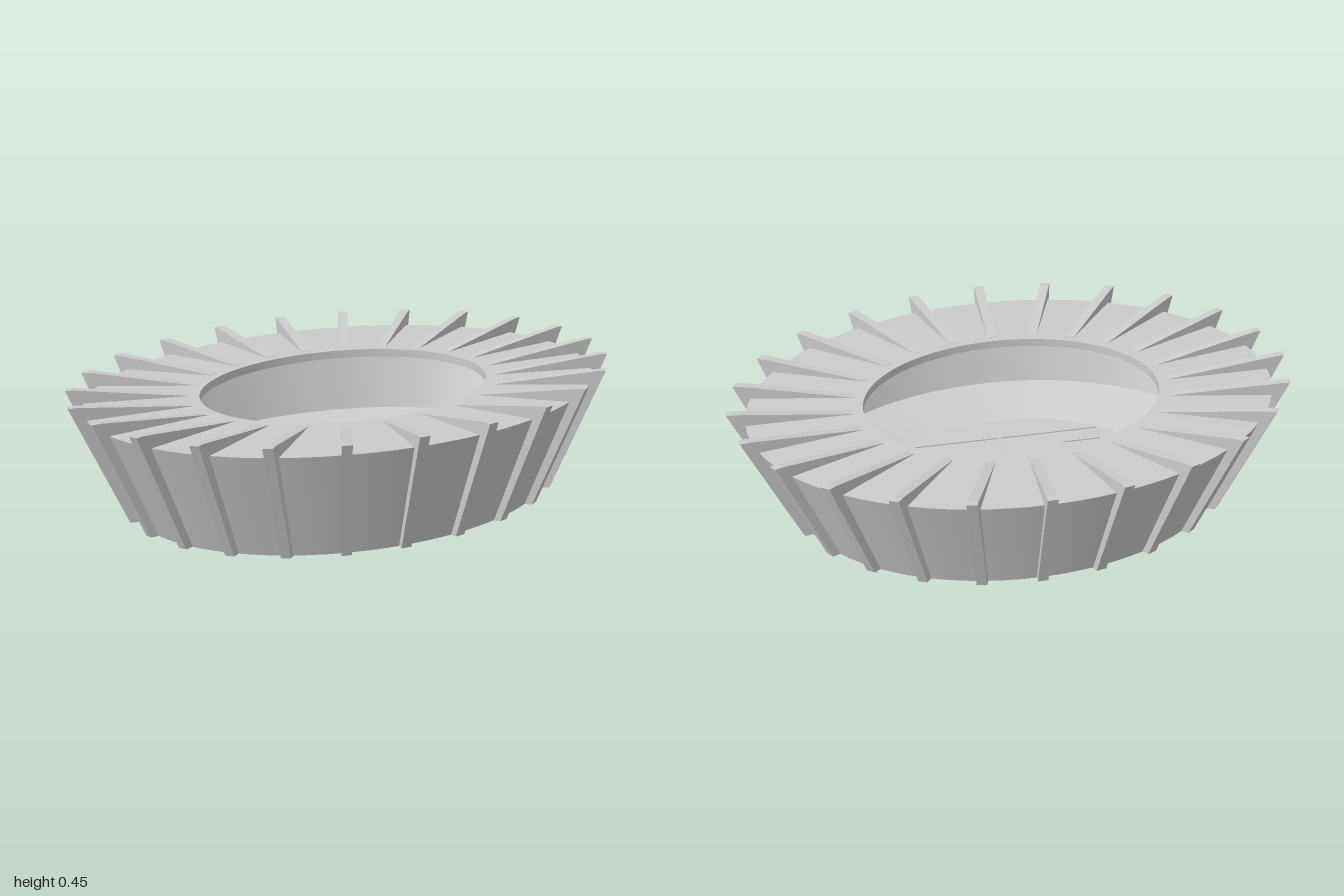
import * as THREE from 'three';
import { toCreasedNormals } from 'three/addons/utils/BufferGeometryUtils.js';

const DEPTH_RATIO = 0.682; // the oval is a circle squashed in z
const PITCH_Y = 0.03;
const grey = new THREE.MeshStandardMaterial({ color: 0xcccccc });

function add(parent, name, geometry) {
  const mesh = new THREE.Mesh(geometry, grey);
  mesh.name = name;
  parent.add(mesh);
  return mesh;
}

// Hollow bowl: floor, leaning outer wall, roof ring, overhang and sloping stand
function bowlGeometry() {
  const profile = [
    [0, 0], [0.778, 0], [0.94, 0.4], [0.53, 0.4], [0.53, 0.37],
    [0.91, 0.37], [0.8, 0.09], [0.54, PITCH_Y], [0, PITCH_Y],
  ].map(([r, y]) => new THREE.Vector2(r, y));
  return toCreasedNormals(new THREE.LatheGeometry(profile, 72), 0.2);
}

// Rib that climbs the outer wall and tapers inwards over the roof
function ribGeometry() {
  const width = 0.036;
  const shape = new THREE.Shape([
    [0.808, 0], [1, 0.45], [0.97, 0.45], [0.57, 0.401], [0.57, 0.39], [0.92, 0.39], [0.765, 0],
  ].map(([r, y]) => new THREE.Vector2(r, y)));
  const geometry = new THREE.ExtrudeGeometry(shape, { depth: width, bevelEnabled: false });
  return geometry.translate(0, 0, -width / 2);
}

// Raised pitch markings
function pitchMarkings() {
  const group = new THREE.Group();
  group.name = 'pitchMarkings';
  const line = 0.011;
  const height = 0.005;
  const y = PITCH_Y + height / 2;

  const strip = (name, x0, z0, x1, z1) => {
    const geometry = new THREE.BoxGeometry(
      Math.abs(x1 - x0) + line, height, Math.abs(z1 - z0) + line);
    add(group, name, geometry).position.set((x0 + x1) / 2, y, (z0 + z1) / 2);
  };
  const ring = (name, x, inner, outer, start = 0, sweep = Math.PI * 2) => {
    const geometry = new THREE.RingGeometry(inner, outer, 40, 1, start, sweep);
    geometry.rotateX(-Math.PI / 2);
    add(group, name, geometry).position.set(x, PITCH_Y + height, 0);
  };

  const endX = 0.38;
  const sideZ = 0.255;
  strip('halfwayLine', 0, -sideZ, 0, sideZ);
  ring('centreCircle', 0, 0.077, 0.088);

  for (const s of [-1, 1]) {
    strip('touchLine', -endX, s * sideZ, endX, s * sideZ);
    strip('goalLine', s * endX, -sideZ, s * endX, sideZ);
    // Penalty area and goal area
    for (const [name, x, z] of [['penaltyArea', 0.232, 0.185], ['goalArea', 0.333, 0.086]]) {
      strip(name, s * x, -z, s * x, z);
      for (const side of [-1, 1]) strip(name, s * endX, side * z, s * x, side * z);
    }
    ring('penaltySpot', s * 0.283, 0, 0.01);
    ring('penaltyArc', s * 0.283, 0.076, 0.087, (s > 0 ? Math.PI : 0) - 0.9, 1.8);
  }
  return group;
}

export function createModel() {
  const model = new THREE.Group();
  model.name = 'stadium';

  const oval = new THREE.Group();
  oval.name = 'stadiumShell';
  oval.scale.z = DEPTH_RATIO;
  model.add(oval);

  add(oval, 'bowl', bowlGeometry());

  const rib = ribGeometry();
  const ribCount = 24;
  for (let i = 0; i < ribCount; i++) {
    add(oval, 'rib', rib).rotation.y = (i / ribCount) * Math.PI * 2;
  }

  model.add(pitchMarkings());
  return model;
}
